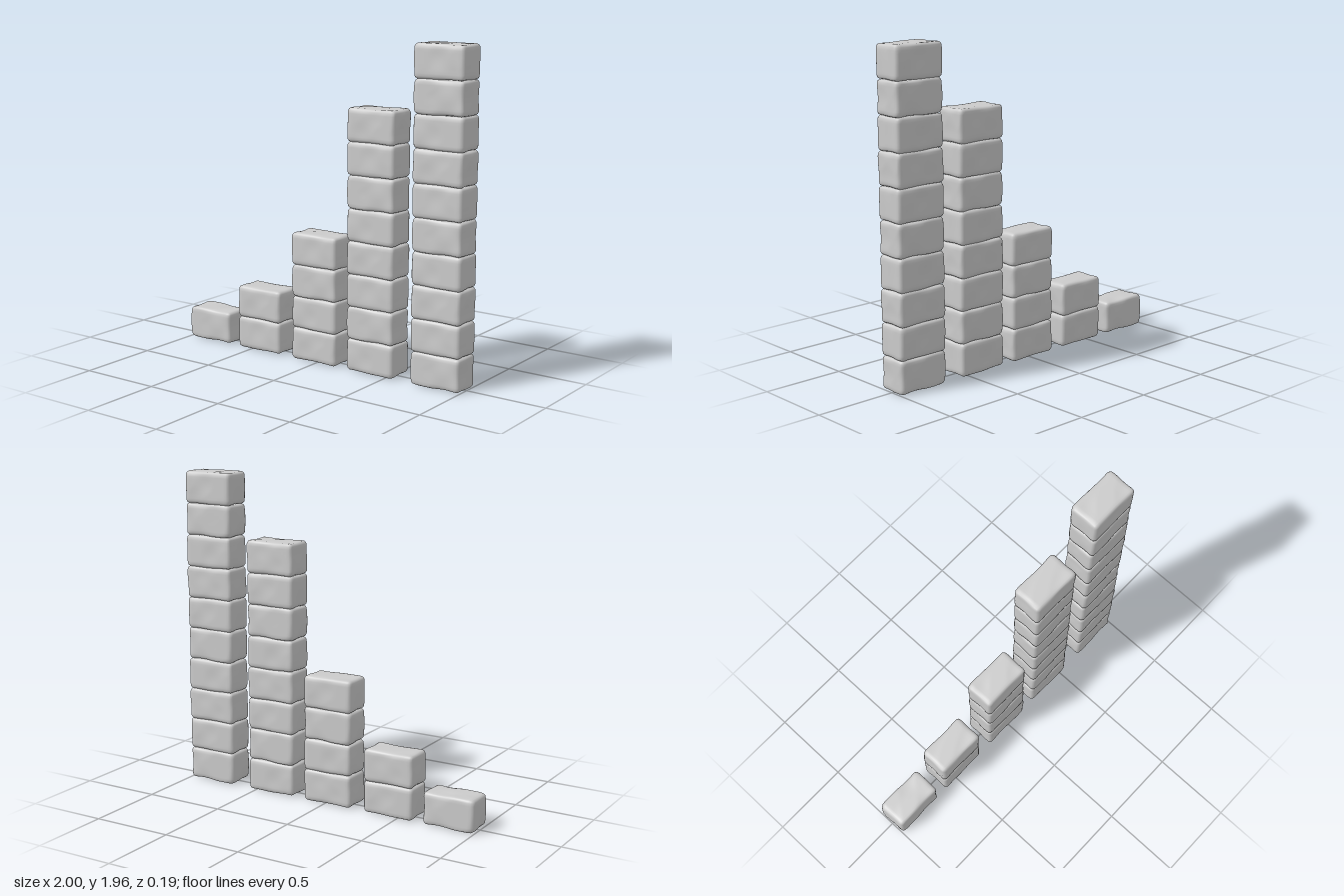
import * as THREE from 'three';
import { mergeVertices } from 'three/addons/utils/BufferGeometryUtils.js';

const SIZE = new THREE.Vector3(0.326, 0.2, 0.19);
const PITCH = 0.196;
const RADIUS = 0.026;

// Worn block: a subdivided box with rounded edges and gently uneven faces
function blockGeometry(seed) {
  const box = new THREE.BoxGeometry(SIZE.x, SIZE.y, SIZE.z, 18, 12, 12);
  box.deleteAttribute('uv');
  box.deleteAttribute('normal');
  const geo = mergeVertices(box);
  const half = SIZE.clone().multiplyScalar(0.5);
  const inner = half.clone().subScalar(RADIUS);
  const pos = geo.attributes.position;
  const p = new THREE.Vector3(), core = new THREE.Vector3(), dir = new THREE.Vector3();
  for (let i = 0; i < pos.count; i++) {
    p.fromBufferAttribute(pos, i);
    core.copy(p).clamp(inner.clone().negate(), inner);
    dir.copy(p).sub(core).normalize();
    const wave = Math.sin(p.x * 27 + seed * 1.7) * Math.cos(p.y * 31 + seed * 2.3)
      + Math.sin(p.z * 36 + p.x * 17 + seed * 0.9);
    p.copy(core).addScaledVector(dir, RADIUS + 0.0025 * wave);
    p.clamp(half.clone().negate(), half);
    pos.setXYZ(i, p.x, p.y, p.z);
  }
  geo.computeVertexNormals();
  return geo;
}

export function createModel() {
  const model = new THREE.Group();
  model.name = 'blockColumns';
  const material = new THREE.MeshStandardMaterial({ color: 0xcccccc });
  const variants = [0, 1, 2, 3].map(blockGeometry);

  // Columns rising from one block to ten
  const columns = [[-0.835, 1], [-0.437, 2], [-0.018, 4], [0.387, 8], [0.835, 10]];
  columns.forEach(([x, count], c) => {
    const column = new THREE.Group();
    column.name = `column${c + 1}`;
    column.position.x = x;
    for (let i = 0; i < count; i++) {
      const block = new THREE.Mesh(variants[(i + c) % variants.length], material);
      block.name = `block${i + 1}`;
      block.position.y = SIZE.y / 2 + i * PITCH;
      column.add(block);
    }
    model.add(column);
  });
  return model;
}
